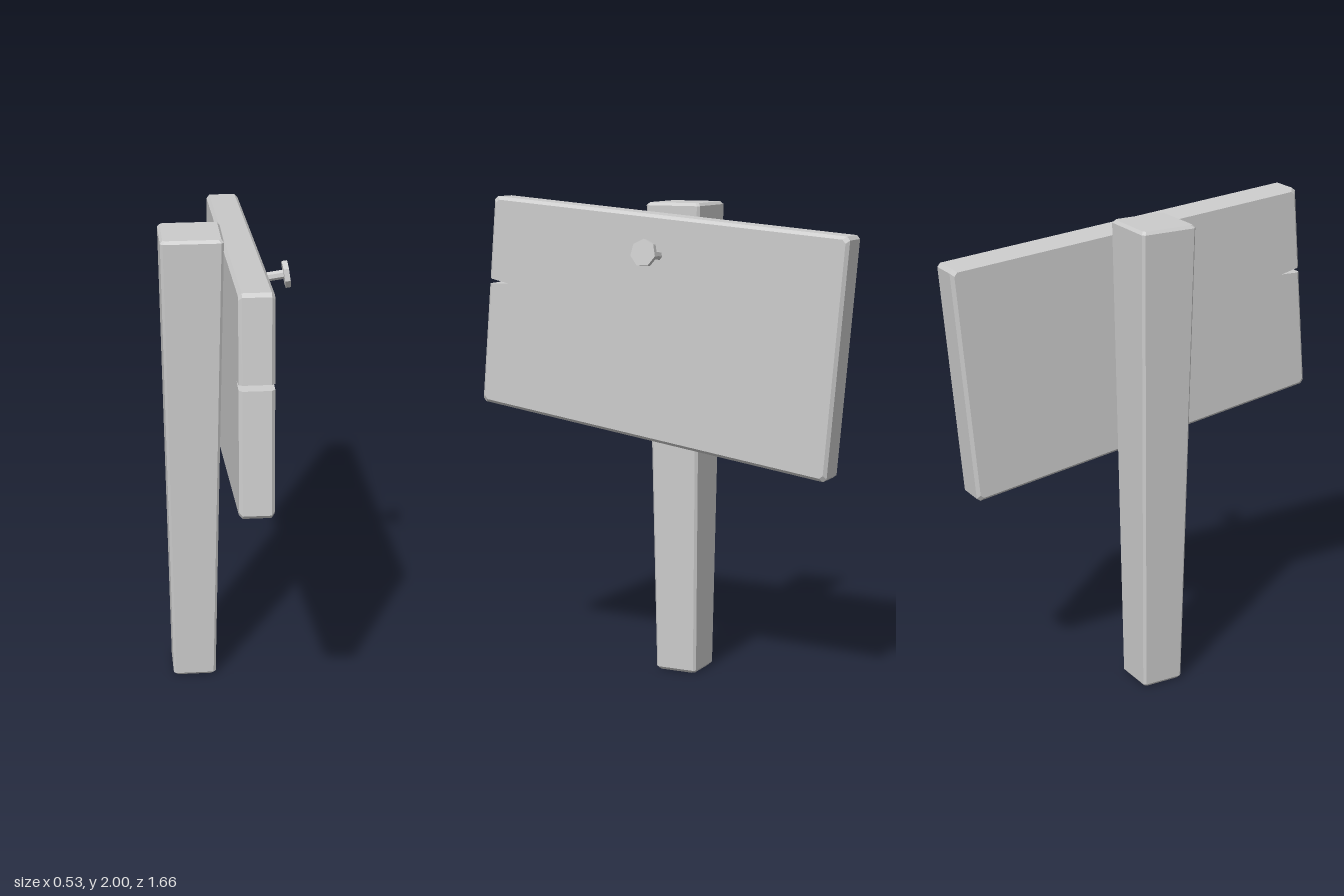
import * as THREE from 'three';

const material = new THREE.MeshStandardMaterial({ color: 0xcccccc, flatShading: true });

// Solid through counter-clockwise outlines stacked along z, with flat end caps
function loft(rings) {
  const n = rings[0].pts.length, pos = [], index = [];
  rings.forEach(r => r.pts.forEach(p => pos.push(p.x, p.y, r.z)));
  for (let k = 0; k < rings.length - 1; k++)
    for (let i = 0; i < n; i++) {
      const a = k * n + i, b = k * n + (i + 1) % n;
      index.push(a, b, b + n, a, b + n, a + n);
    }
  const last = (rings.length - 1) * n;
  for (const [a, b, c] of THREE.ShapeUtils.triangulateShape(rings[0].pts, [])) index.push(c, b, a);
  for (const [a, b, c] of THREE.ShapeUtils.triangulateShape(rings[rings.length - 1].pts, []))
    index.push(last + a, last + b, last + c);
  const g = new THREE.BufferGeometry();
  g.setAttribute('position', new THREE.Float32BufferAttribute(pos, 3));
  g.setIndex(index);
  const flat = g.toNonIndexed();
  flat.computeVertexNormals();
  return flat;
}

const toward = (p, q, d) => p.clone().add(q.clone().sub(p).setLength(d));

// Quad shrunk by `inset`, each corner cut by `cut`
function chamferedQuad(corners, inset, cut) {
  const near = (a, i) => [a[(i + 3) % 4], a[(i + 1) % 4]];
  const q = corners.map((p, i) => {
    if (!inset) return p;
    const [a, b] = near(corners, i);
    return toward(p, a, inset).add(toward(p, b, inset)).sub(p);
  });
  return q.flatMap((p, i) => near(q, i).map(o => toward(p, o, cut)));
}

const v2 = (x, y) => new THREE.Vector2(x, y);

function add(group, name, geometry) {
  const mesh = new THREE.Mesh(geometry, material);
  mesh.name = name;
  group.add(mesh);
  return mesh;
}

export function createModel() {
  const model = new THREE.Group();
  model.name = 'signpost';

  // Post: square, widening towards the top, with bevelled edges
  const section = (hx, hy, inset) =>
    chamferedQuad([v2(-hx, -hy), v2(hx, -hy), v2(hx, hy), v2(-hx, hy)], inset, 0.01);
  const post = loft([
    { pts: section(0.091, 0.092, 0.01), z: 0 },
    { pts: section(0.091, 0.092, 0), z: 0.012 },
    { pts: section(0.125, 0.121, 0), z: 1.973 },
    { pts: section(0.125, 0.121, 0.01), z: 1.985 },
  ]);
  post.rotateX(-Math.PI / 2);
  add(model, 'post', post).position.set(-0.138, 0, -0.007);

  // Board: crooked quad with bevelled rims and a split in its front end
  const corners = [v2(-0.832, 1.133), v2(0.742, 0.905), v2(0.828, 1.875), v2(-0.758, 2.004)];
  const tip = v2(-0.695, 1.64);
  const outline = inset => [
    ...chamferedQuad(corners, inset, 0.014),
    v2(-0.787 + inset, 1.66 - inset * 0.2), tip, v2(-0.789 + inset, 1.637),
  ];
  const board = loft([
    { pts: outline(0.013), z: -0.015 },
    { pts: outline(0), z: -0.002 },
    { pts: outline(0), z: 0.107 },
    { pts: outline(0.013), z: 0.12 },
  ]);
  board.rotateY(Math.PI / 2);
  add(model, 'board', board);

  // Nail: seven-sided shank and head, tilted slightly upwards
  const nail = new THREE.Group();
  nail.name = 'nail';
  const shank = new THREE.CylinderGeometry(0.019, 0.019, 0.17, 7);
  const head = new THREE.CylinderGeometry(0.056, 0.056, 0.022, 7);
  for (const g of [shank, head]) g.rotateY(-Math.PI / 2).rotateZ(-Math.PI / 2);
  add(nail, 'nailShank', shank).position.x = -0.09;
  add(nail, 'nailHead', head);
  nail.position.set(0.245, 1.797, -0.008);
  nail.rotation.z = 0.14;
  model.add(nail);

  return model;
}
